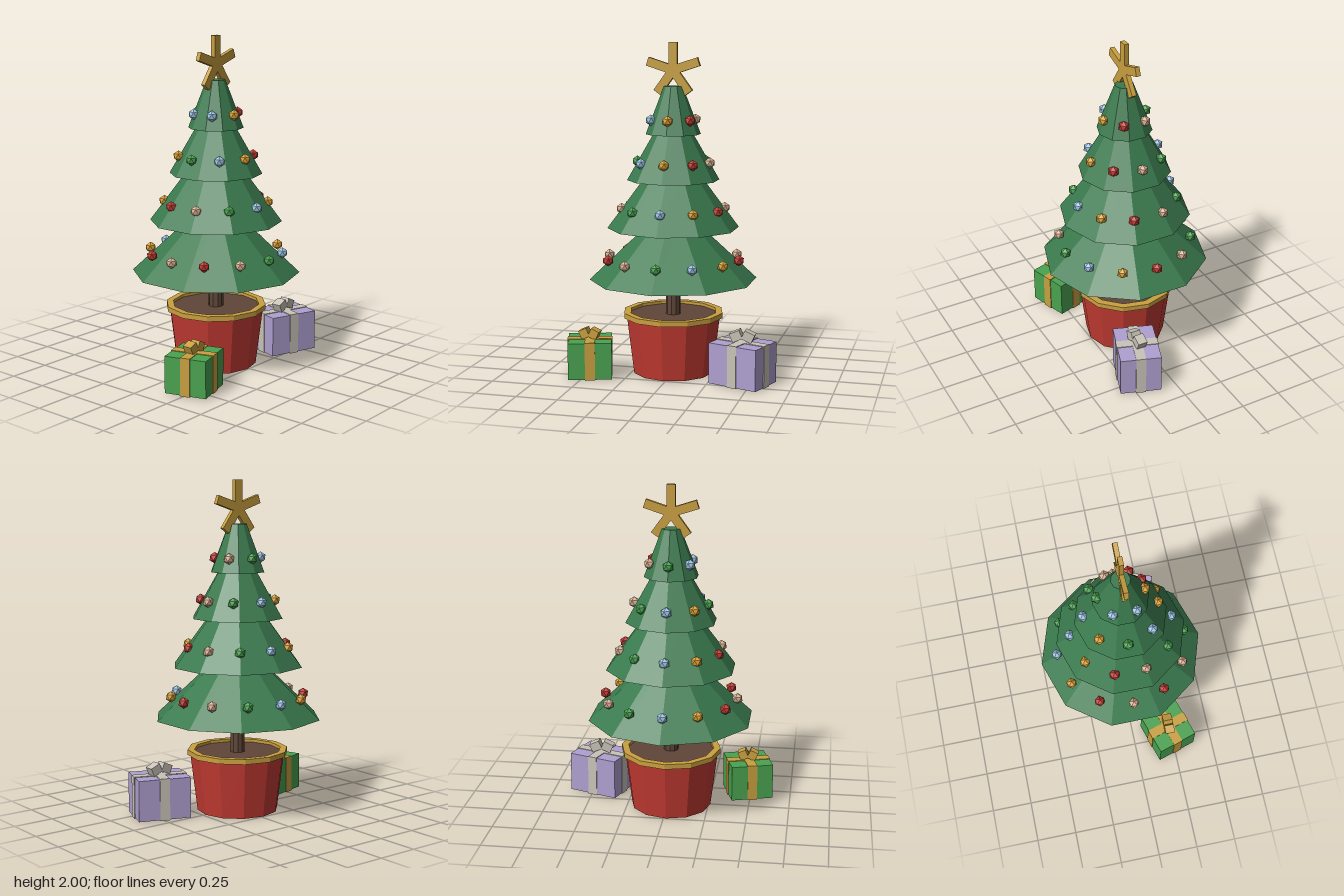
import * as THREE from 'three';

const mat = (name, color) => {
  const m = new THREE.MeshStandardMaterial({ color, flatShading: true });
  m.name = name;
  return m;
};

export function createModel() {
  const leaf = mat('pine green', 0x3a7a4e);
  const red = mat('red', 0xc23a32);
  const gold = mat('gold', 0xc9a040);
  const brown = mat('bark brown', 0x5f4638);
  const green = mat('bright green', 0x4aa350);
  const lilac = mat('lilac', 0xb0a0d0);
  const silver = mat('silver', 0xcac4b8);
  const tan = mat('peach', 0xd9b294);
  const blue = mat('pale blue', 0x9cc4e2);
  const amber = mat('amber', 0xdba236);

  const model = new THREE.Group();
  model.name = 'decoratedTree';
  const add = (parent, name, geo, material, x = 0, y = 0, z = 0) => {
    const mesh = new THREE.Mesh(geo, material);
    mesh.name = name;
    mesh.position.set(x, y, z);
    parent.add(mesh);
    return mesh;
  };

  const tree = new THREE.Group();
  tree.name = 'tree';
  tree.position.x = -0.015;
  model.add(tree);

  // Pot, rim ring and soil
  add(tree, 'pot', new THREE.CylinderGeometry(0.29, 0.247, 0.35, 12), red, 0, 0.175);
  const rim = [[0.265, 0.345], [0.307, 0.345], [0.307, 0.376], [0.265, 0.376], [0.265, 0.345]];
  add(tree, 'potRim', new THREE.LatheGeometry(rim.map(p => new THREE.Vector2(...p)), 12), gold);
  add(tree, 'soil', new THREE.CylinderGeometry(0.27, 0.27, 0.02, 12), brown, 0, 0.348);
  add(tree, 'trunk', new THREE.CylinderGeometry(0.045, 0.045, 0.4, 10), brown, 0, 0.5);

  // Foliage tiers: bottom y, top y, bottom radius, top radius
  [
    [0.575, 0.94, 0.508, 0.12],
    [0.89, 1.23, 0.398, 0.146],
    [1.18, 1.5, 0.278, 0.094],
    [1.455, 1.74, 0.165, 0.056],
  ].forEach(([y0, y1, r0, r1], i) =>
    add(tree, `foliageTier${i + 1}`, new THREE.CylinderGeometry(r1, r0, y1 - y0, 10), leaf, 0, (y0 + y1) / 2));

  // Rings of baubles: height, ring radius, count, start angle, first colour
  const cycle = [tan, red, amber, blue, green];
  const bauble = new THREE.IcosahedronGeometry(0.034, 0).rotateZ(-0.5536);
  [
    [0.705, 0.405, 12, 180, 0],
    [1.008, 0.311, 10, 198, 1],
    [1.287, 0.223, 8, 225, 2],
    [1.54, 0.138, 6, 210, 3],
  ].forEach(([y, r, n, start, first]) => {
    for (let i = 0; i < n; i++) {
      const a = THREE.MathUtils.degToRad(start + (i * 360) / n);
      add(tree, 'bauble', bauble, cycle[(first + i) % 5], r * Math.cos(a), y, r * Math.sin(a));
    }
  });

  // Five-armed star
  const star = new THREE.Group();
  star.name = 'star';
  star.position.y = 1.835;
  tree.add(star);
  const arm = new THREE.BoxGeometry(0.053, 0.165, 0.028).translate(0, 0.0825, 0);
  for (let i = 0; i < 5; i++) add(star, 'starArm', arm, gold).rotation.z = (i * Math.PI * 2) / 5;

  // Wrapped present with crossed ribbons and a two-lobed bow
  function present(name, x, z, w, h, d, turn, paper, ribbon, bow) {
    const g = new THREE.Group();
    g.name = name;
    g.position.set(x, 0, z);
    model.add(g);
    const box = new THREE.Group();
    box.name = 'wrappedBox';
    box.rotation.y = turn;
    g.add(box);
    add(box, 'paper', new THREE.BoxGeometry(w, h - 0.008, d), paper, 0, h / 2);
    add(box, 'ribbonLengthwise', new THREE.BoxGeometry(w + 0.008, h, 0.06), ribbon, 0, h / 2);
    add(box, 'ribbonCrosswise', new THREE.BoxGeometry(0.06, h, d + 0.008), ribbon, 0, h / 2);
    for (const s of [-1, 1]) {
      const lobe = new THREE.BoxGeometry(bow, 0.055, 0.06);
      add(g, 'bowLobe', lobe, ribbon, s * bow * 0.56, h + 0.027 + (bow - 0.05) * 0.5, 0).rotation.z = -s * 0.42;
    }
  }
  present('greenPresent', -0.478, 0.221, 0.262, 0.23, 0.255, 0.3, green, gold, 0.053);
  present('lilacPresent', 0.451, 0.168, 0.318, 0.254, 0.247, -0.34, lilac, silver, 0.065);

  return model;
}
